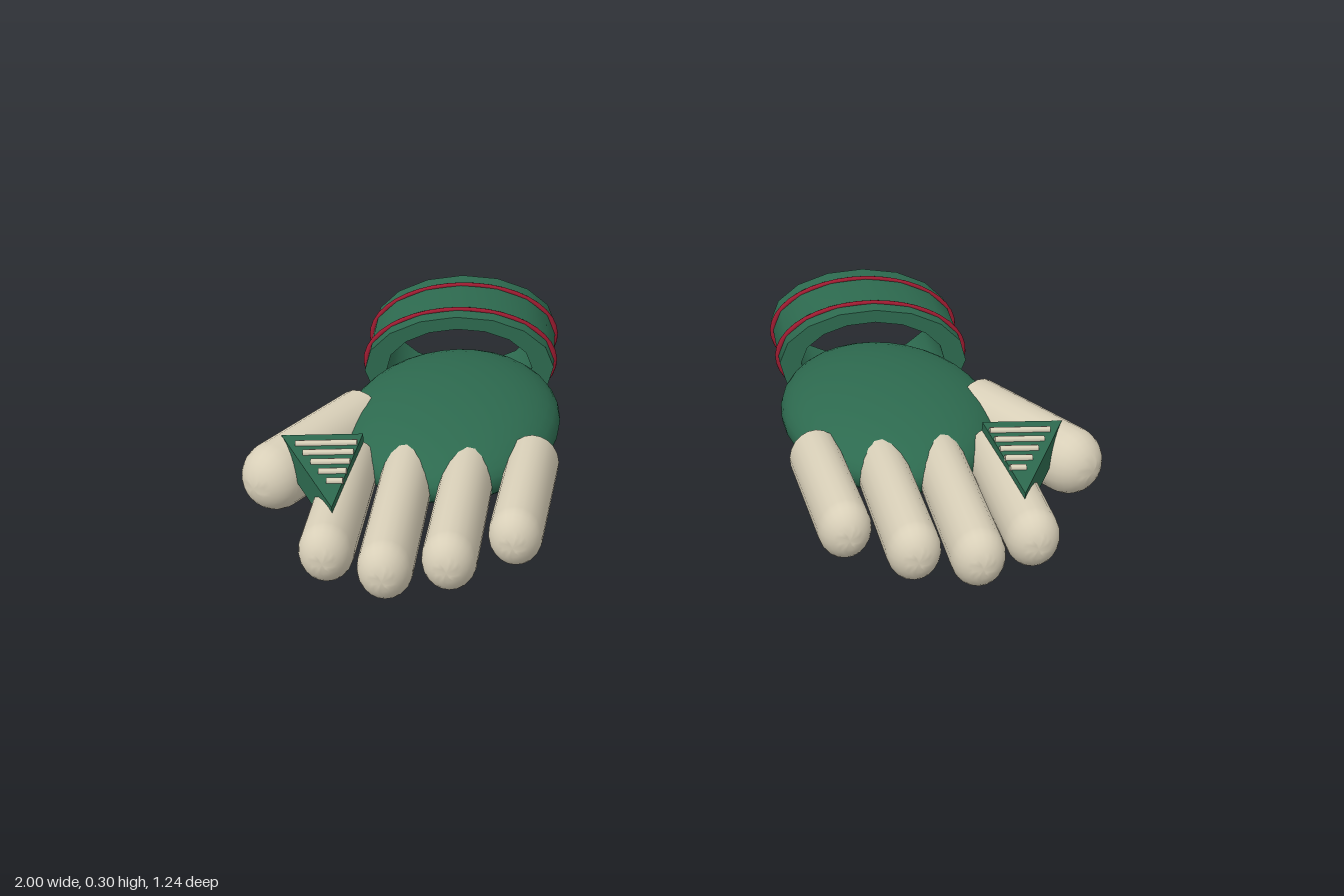
import * as THREE from 'three';
import { toCreasedNormals } from 'three/addons/utils/BufferGeometryUtils.js';

const mat = (name, color) => {
  const m = new THREE.MeshStandardMaterial({ color });
  m.name = name;
  return m;
};

export function createModel() {
  const green = mat('green cloth', 0x2d6a4f);
  const cream = mat('cream cloth', 0xd8cfb8);
  const red = mat('red trim', 0x9b1b30);

  const add = (parent, name, geometry, material, x = 0, y = 0, z = 0) => {
    const mesh = new THREE.Mesh(geometry, material);
    mesh.name = name;
    mesh.position.set(x, y, z);
    parent.add(mesh);
    return mesh;
  };

  // Flat-based, round-tipped digit lying along z
  const digitGeometry = (length, rx, ry) => {
    const profile = [new THREE.Vector2(0, 0), new THREE.Vector2(rx, 0)];
    for (let i = 0; i <= 8; i++) {
      const a = (i / 8) * Math.PI / 2;
      profile.push(new THREE.Vector2(i === 8 ? 0 : rx * Math.cos(a), length + rx * Math.sin(a)));
    }
    return toCreasedNormals(new THREE.LatheGeometry(profile, 20), 0.7)
      .rotateX(Math.PI / 2).scale(1, ry / rx, 1);
  };

  // Digit from base to the centre of its round tip, in the xz plane
  const addDigit = (parent, name, s, [x0, z0], [x1, z1], rx, ry) => {
    const digit = add(parent, name, digitGeometry(Math.hypot(x1 - x0, z1 - z0), rx, ry),
      cream, s * x0, 0.14, z0);
    digit.rotation.y = Math.atan2(s * (x1 - x0), z1 - z0);
  };

  const createGlove = (s, name) => {
    const glove = new THREE.Group();
    glove.name = name;
    const cx = s * 0.53;

    // Palm
    add(glove, 'palm', new THREE.SphereGeometry(1, 32, 20).scale(0.26, 0.102, 0.35),
      green, cx, 0.143, -0.09);

    // Open elliptical cuff with a thick wall
    const wall = [[1, -0.1325], [1, 0.1325], [0.77, 0.1325], [0.77, -0.1325], [1, -0.1325]]
      .map(([r, y]) => new THREE.Vector2(r, y));
    const cuff = toCreasedNormals(new THREE.LatheGeometry(wall, 16), 0.6)
      .rotateX(Math.PI / 2).scale(0.24, 0.144, 1);
    add(glove, 'cuff', cuff, green, cx, 0.154, -0.4925);

    // Red trim around the cuff
    for (const z of [-0.41, -0.565]) {
      const ring = new THREE.TorusGeometry(0.24, 0.008, 8, 40).scale(1, 0.6, 1);
      add(glove, 'cuffRing', ring, red, cx, 0.154, z);
    }

    // Fingers, from little to index
    const fingers = [
      ['littleFinger', 0.33, 0.36, 0.435],
      ['ringFinger', 0.475, 0.498, 0.53],
      ['middleFinger', 0.615, 0.632, 0.56],
      ['indexFinger', 0.748, 0.765, 0.485],
    ];
    for (const [label, x0, x1, z] of fingers)
      addDigit(glove, label, s, [x0, 0.11], [x1, z], 0.06, 0.07);

    // Thumb
    addDigit(glove, 'thumb', s, [0.75, -0.112], [0.922, 0.15], 0.077, 0.081);

    // Triangular webbing between thumb and index finger
    const triangle = new THREE.Shape(
      [[0.72, 0.11], [0.907, 0.11], [0.752, 0.445]].map(([x, z]) => new THREE.Vector2(s * x, z)));
    const web = new THREE.ExtrudeGeometry(triangle, { depth: 0.077, bevelEnabled: false })
      .rotateX(Math.PI / 2);
    add(glove, 'thumbWeb', web, green, 0, 0.222, 0);

    // Laces across the webbing
    for (let i = 0; i < 5; i++) {
      const inner = 0.728 + 0.003 * i;
      const outer = 0.868 - 0.023 * i;
      const lace = new THREE.CylinderGeometry(0.008, 0.008, outer - inner, 8).rotateZ(Math.PI / 2);
      add(glove, 'webLace', lace, cream, s * (inner + outer) / 2, 0.225, 0.158 + 0.044 * i);
    }
    return glove;
  };

  const model = new THREE.Group();
  model.name = 'gloves';
  model.add(createGlove(1, 'leftGlove'), createGlove(-1, 'rightGlove'));
  return model;
}
